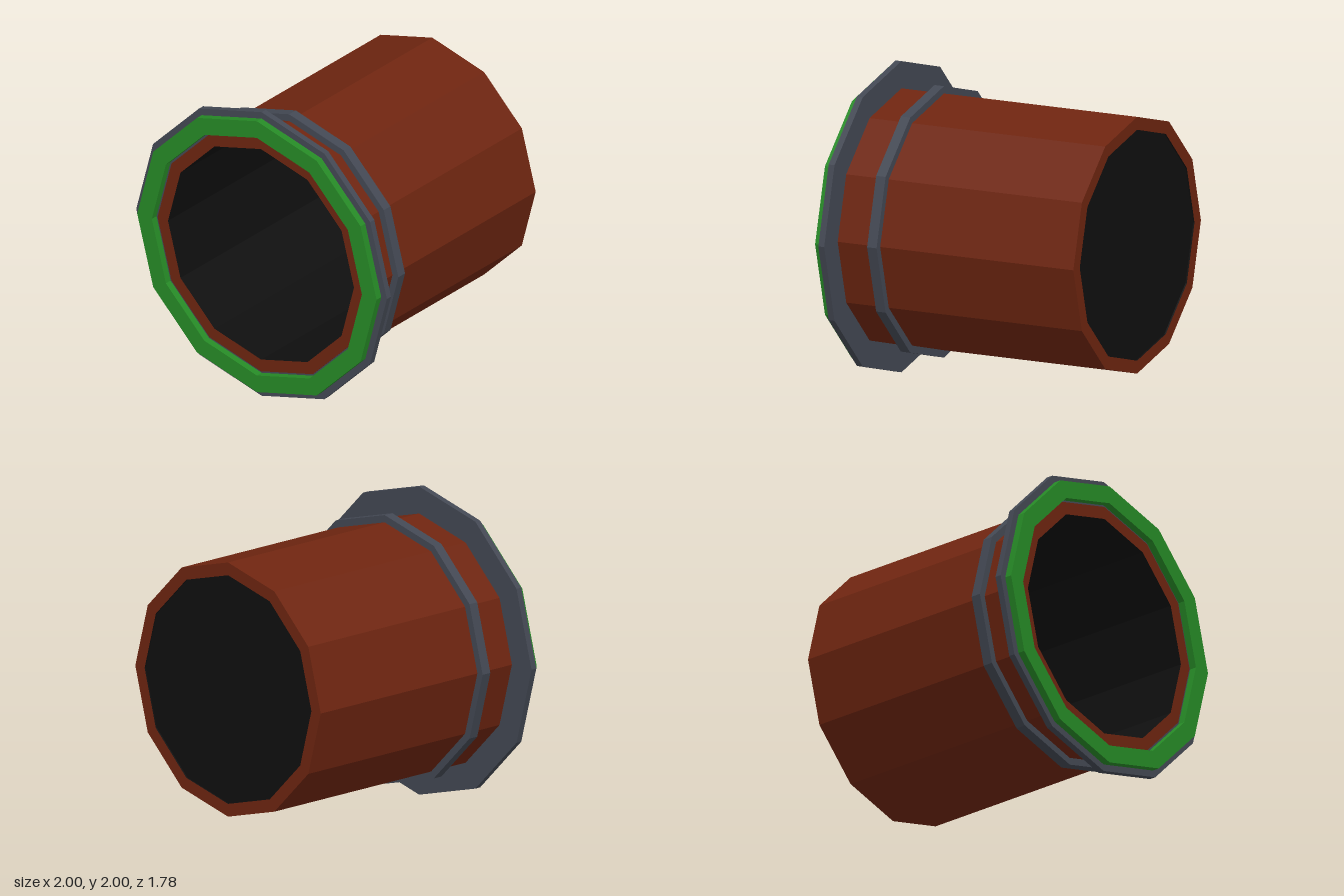
import * as THREE from 'three';

const SIDES = 12;

function material(name, color, side = THREE.FrontSide) {
  const m = new THREE.MeshStandardMaterial({ color, flatShading: true, side });
  m.name = name;
  return m;
}

// Revolve [radius, z] points about the z axis
function revolve(name, points, mat) {
  const profile = points.map(([r, z]) => new THREE.Vector2(r, z));
  const geometry = new THREE.LatheGeometry(profile, SIDES).rotateX(Math.PI / 2);
  const mesh = new THREE.Mesh(geometry, mat);
  mesh.name = name;
  mesh.position.y = 1;
  return mesh;
}

// Closed rectangular ring
function ring(name, inner, outer, back, front, mat) {
  return revolve(name, [[inner, back], [outer, back], [outer, front], [inner, front], [inner, back]], mat);
}

export function createModel() {
  const rust = material('rust brown', 0x6e2510);
  const steel = material('dark steel', 0x434853);
  const green = material('green', 0x268a26);
  const black = material('black interior', 0x0f0f0f, THREE.DoubleSide);

  const group = new THREE.Group();
  group.name = 'pipe';

  // Pipe wall: outer shell with its front and back rims
  group.add(revolve('pipeWall', [[0.742, -0.89], [0.825, -0.89], [0.825, 0.848], [0.742, 0.848]], rust));

  // Hollow interior, closed just inside the back rim
  group.add(revolve('pipeInterior', [[0.742, 0.848], [0.742, -0.89]], black));
  group.add(revolve('backCap', [[0.742, -0.88], [0, -0.88]], black));

  // Mouth flange, glowing front ring and rear collar
  group.add(ring('mouthFlange', 0.82, 1, 0.8, 0.842, steel));
  group.add(ring('frontRing', 0.838, 0.955, 0.838, 0.89, green));
  group.add(ring('collar', 0.8, 0.872, 0.495, 0.563, steel));

  return group;
}
